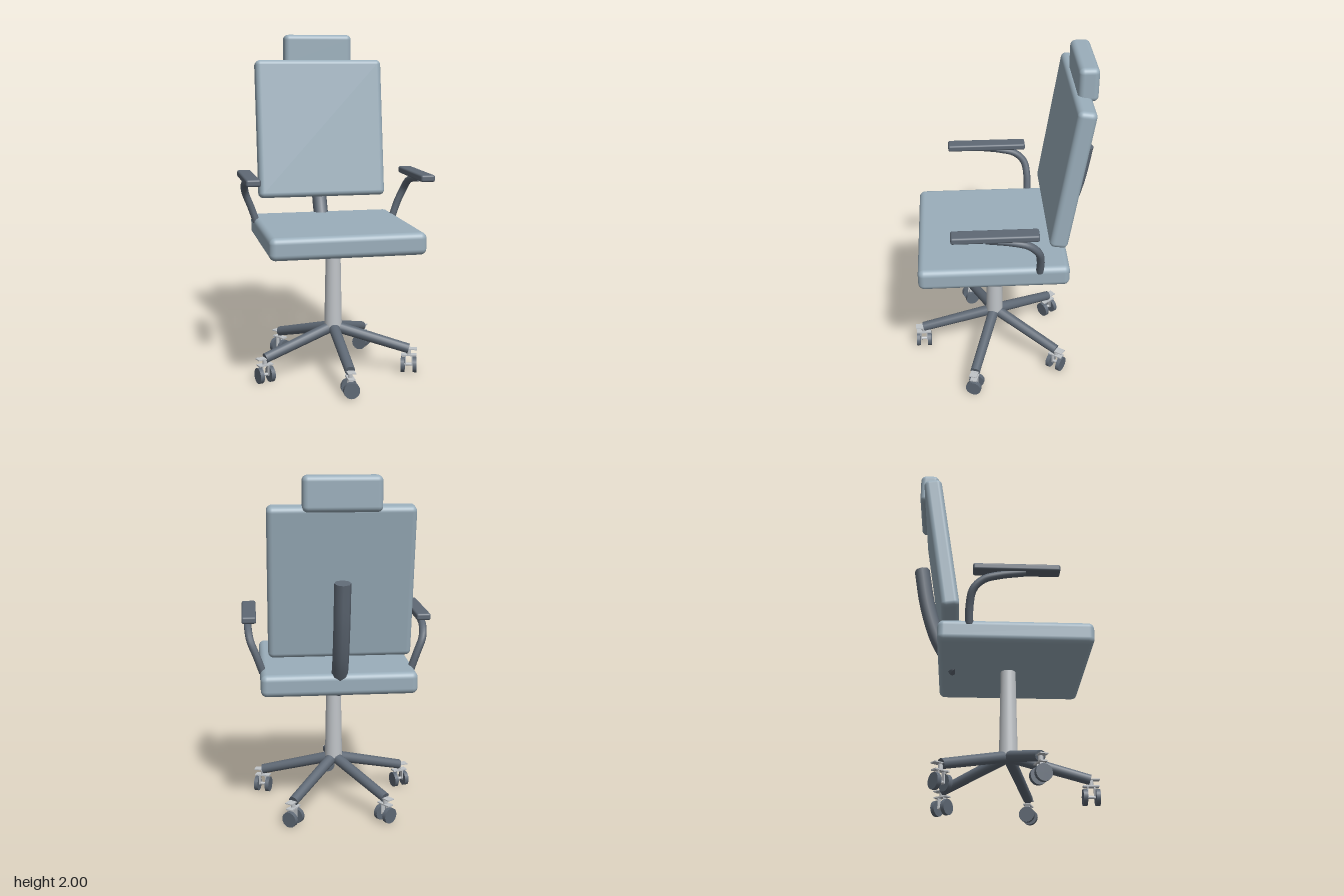
import * as THREE from 'three';
import { RoundedBoxGeometry } from 'three/addons/geometries/RoundedBoxGeometry.js';

const material = (name, color) => {
  const m = new THREE.MeshStandardMaterial({ color });
  m.name = name;
  return m;
};

export function createModel() {
  const chair = new THREE.Group();
  chair.name = 'officeChair';
  const fabric = material('blue grey upholstery', 0x9aaebb);
  const dark = material('dark slate', 0x5f6975);
  const metal = material('light metal', 0xc0c4c8);
  const V = (x, y, z) => new THREE.Vector3(x, y, z);

  const add = (parent, name, geometry, mat, x = 0, y = 0, z = 0) => {
    const mesh = new THREE.Mesh(geometry, mat);
    mesh.name = name;
    mesh.position.set(x, y, z);
    parent.add(mesh);
    return mesh;
  };
  const cushion = (name, w, h, d, r, x, y, z, mat = fabric, parent = chair) =>
    add(parent, name, new RoundedBoxGeometry(w, h, d, 4, r), mat, x, y, z);

  // Swept bar with closed ends
  const bar = (parent, name, points, radius, sides) => {
    const group = new THREE.Group();
    group.name = name;
    const curve = new THREE.CatmullRomCurve3(points);
    add(group, name + 'Tube', new THREE.TubeGeometry(curve, 24, radius, sides), dark);
    const frames = curve.computeFrenetFrames(24);
    [0, 1].forEach((t) => {
      const i = t * 24;
      const s = t ? 1 : -1;
      const cap = add(group, name + 'End', new THREE.CircleGeometry(radius, sides), dark);
      const out = frames.tangents[i].clone().multiplyScalar(s);
      const side = frames.normals[i];
      cap.quaternion.setFromRotationMatrix(
        new THREE.Matrix4().makeBasis(side, out.clone().cross(side), out));
      cap.position.copy(curve.getPointAt(t));
    });
    parent.add(group);
  };

  // Upholstery
  cushion('seat', 0.88, 0.127, 0.855, 0.035, 0, 0.842, 0.052);
  const back = cushion('backrest', 0.79, 0.845, 0.104, 0.03, 0, 1.425, -0.37);
  back.rotation.x = -0.15;
  cushion('headrest', 0.42, 0.19, 0.11, 0.03, 0, 1.905, -0.457);

  // Curved spine joining seat and backrest
  bar(chair, 'spine', [V(0, 0.785, -0.268), V(0, 0.89, -0.335), V(0, 1.0, -0.39),
    V(0, 1.2, -0.45), V(0, 1.44, -0.492)], 0.046, 8);

  // Armrests, mirrored
  [[1, 'left'], [-1, 'right']].forEach(([s, side]) => {
    cushion(side + 'ArmPad', 0.083, 0.04, 0.478, 0.012, s * 0.498, 1.18, 0.051, dark);
    bar(chair, side + 'ArmSupport', [V(s * 0.425, 0.88, -0.203), V(s * 0.458, 0.975, -0.203),
      V(s * 0.492, 1.06, -0.185), V(s * 0.503, 1.115, -0.13), V(s * 0.505, 1.142, -0.04),
      V(s * 0.505, 1.162, 0.1)], 0.022, 10);
  });

  // Pedestal
  const base = new THREE.Group();
  base.name = 'base';
  base.position.z = 0.03;
  chair.add(base);
  add(base, 'gasColumn', new THREE.CylinderGeometry(0.043, 0.053, 0.53, 24), metal, 0, 0.52, 0);
  add(base, 'hub', new THREE.SphereGeometry(0.036, 16, 10), dark, 0, 0.266, 0);

  // Five spokes, each with a twin wheel caster
  for (let i = 0; i < 5; i++) {
    const spoke = new THREE.Group();
    spoke.name = 'spoke' + (i + 1);
    spoke.rotation.y = (i * Math.PI * 2) / 5;
    base.add(spoke);

    const from = V(0, 0.27, 0.01);
    const to = V(0, 0.145, 0.453);
    const dir = to.clone().sub(from);
    const leg = add(spoke, 'leg', new THREE.CylinderGeometry(0.029, 0.033, dir.length(), 16), dark);
    leg.position.copy(from).add(to).multiplyScalar(0.5);
    leg.quaternion.setFromUnitVectors(V(0, 1, 0), dir.normalize());

    const caster = new THREE.Group();
    caster.name = 'caster';
    caster.position.z = 0.455;
    spoke.add(caster);
    add(caster, 'mountPlate', new THREE.BoxGeometry(0.045, 0.006, 0.075), metal, 0, 0.145, 0.012);
    add(caster, 'stem', new THREE.CylinderGeometry(0.014, 0.014, 0.045, 12), metal, 0, 0.126, 0);
    add(caster, 'forkTop', new THREE.BoxGeometry(0.04, 0.008, 0.09), metal, 0, 0.107, 0);
    add(caster, 'axle', new THREE.CylinderGeometry(0.009, 0.009, 0.07, 10), metal, 0, 0.047, 0)
      .rotation.x = Math.PI / 2;
    [-1, 1].forEach((s) => {
      add(caster, 'forkSide', new THREE.BoxGeometry(0.026, 0.07, 0.006), metal, 0, 0.075, s * 0.019);
      add(caster, 'wheel', new THREE.CylinderGeometry(0.046, 0.046, 0.024, 20), dark,
        0, 0.046, s * 0.035).rotation.x = Math.PI / 2;
    });
  }
  return chair;
}
